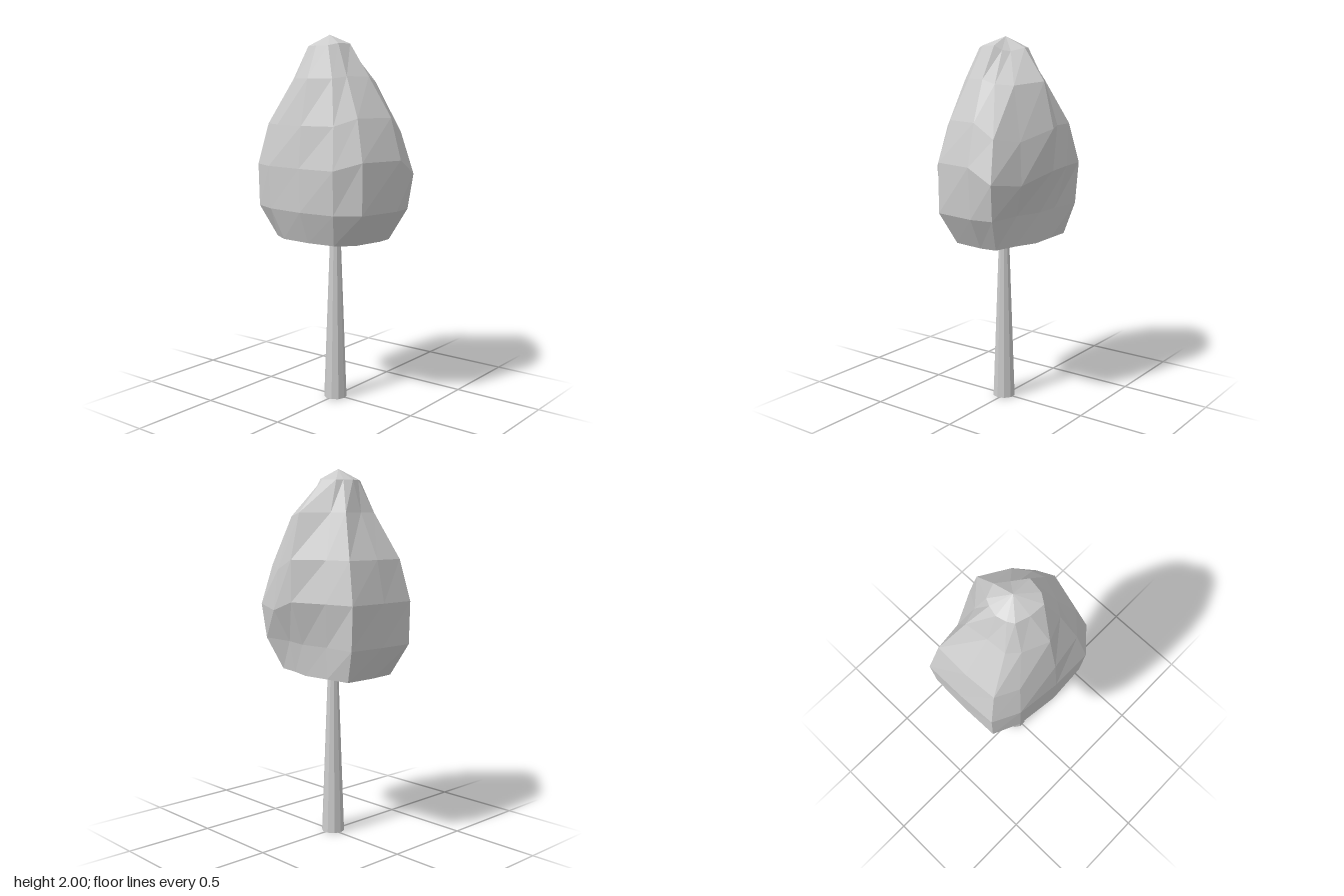
import * as THREE from 'three';

const material = new THREE.MeshStandardMaterial({ color: 0xcccccc, flatShading: true });

// Directions of the twelve foliage columns, in degrees from +x towards +z
const angles = [-2, 39, 64, 83, 122, 145, 182, 221, 241, 270, 300, 319];
// Height shift of each column around the belly
const lifts = [0, -0.06, -0.04, 0.04, 0.04, 0, 0, 0, 0, 0, 0, 0];
// Irregular foliage rings, top to bottom: height, centre, lift strength, radius per column
const rings = [
  { y: 1.94, cx: -0.02, cz: -0.03, lift: 0.3, r: [0.12, 0.10, 0.11, 0.125, 0.13, 0.14, 0.11, 0.115, 0.11, 0.11, 0.11, 0.12] },
  { y: 1.77, cx: -0.02, cz: 0, lift: 0.3, r: [0.26, 0.23, 0.22, 0.21, 0.19, 0.20, 0.215, 0.21, 0.22, 0.20, 0.25, 0.20] },
  { y: 1.53, cx: 0, cz: 0, lift: 1, r: [0.30, 0.29, 0.35, 0.33, 0.31, 0.31, 0.285, 0.32, 0.375, 0.34, 0.385, 0.28] },
  { y: 1.31, cx: 0, cz: 0, lift: 1, r: [0.30, 0.315, 0.42, 0.39, 0.38, 0.37, 0.305, 0.37, 0.435, 0.39, 0.45, 0.335] },
  { y: 1.08, cx: 0, cz: 0, lift: 0, r: [0.22, 0.23, 0.39, 0.37, 0.38, 0.35, 0.30, 0.36, 0.43, 0.38, 0.43, 0.27] },
  { y: 0.91, cx: 0, cz: 0, lift: 0, r: [0.20, 0.20, 0.29, 0.27, 0.28, 0.27, 0.235, 0.29, 0.33, 0.31, 0.36, 0.25] },
];

// Skin the rings and close them with a tip and a shallow underside
function foliageGeometry() {
  const n = angles.length;
  const positions = [-0.02, 2, -0.03];
  const index = [];
  for (const ring of rings) {
    angles.forEach((deg, i) => {
      const a = THREE.MathUtils.degToRad(deg);
      positions.push(
        ring.cx + ring.r[i] * Math.cos(a),
        ring.y + ring.lift * lifts[i],
        ring.cz + ring.r[i] * Math.sin(a));
    });
  }
  positions.push(-0.01, 0.86, 0);
  const bottom = positions.length / 3 - 1;
  const at = (ring, i) => 1 + ring * n + (i % n);
  const last = rings.length - 1;
  for (let i = 0; i < n; i++) {
    index.push(0, at(0, i + 1), at(0, i));
    for (let k = 0; k < last; k++) {
      const a = at(k, i), b = at(k, i + 1), c = at(k + 1, i + 1), d = at(k + 1, i);
      index.push(a, b, c, a, c, d);
    }
    index.push(bottom, at(last, i), at(last, i + 1));
  }
  const geometry = new THREE.BufferGeometry();
  geometry.setAttribute('position', new THREE.Float32BufferAttribute(positions, 3));
  geometry.setIndex(index);
  const flat = geometry.toNonIndexed();
  flat.computeVertexNormals();
  return flat;
}

export function createModel() {
  const tree = new THREE.Group();
  tree.name = 'tree';

  // Tapered trunk
  const trunk = new THREE.Mesh(new THREE.CylinderGeometry(0.03, 0.063, 0.9, 10), material);
  trunk.name = 'trunk';
  trunk.position.set(-0.01, 0.45, 0);

  // Faceted, lopsided crown
  const foliage = new THREE.Mesh(foliageGeometry(), material);
  foliage.name = 'foliage';

  tree.add(trunk, foliage);
  return tree;
}
